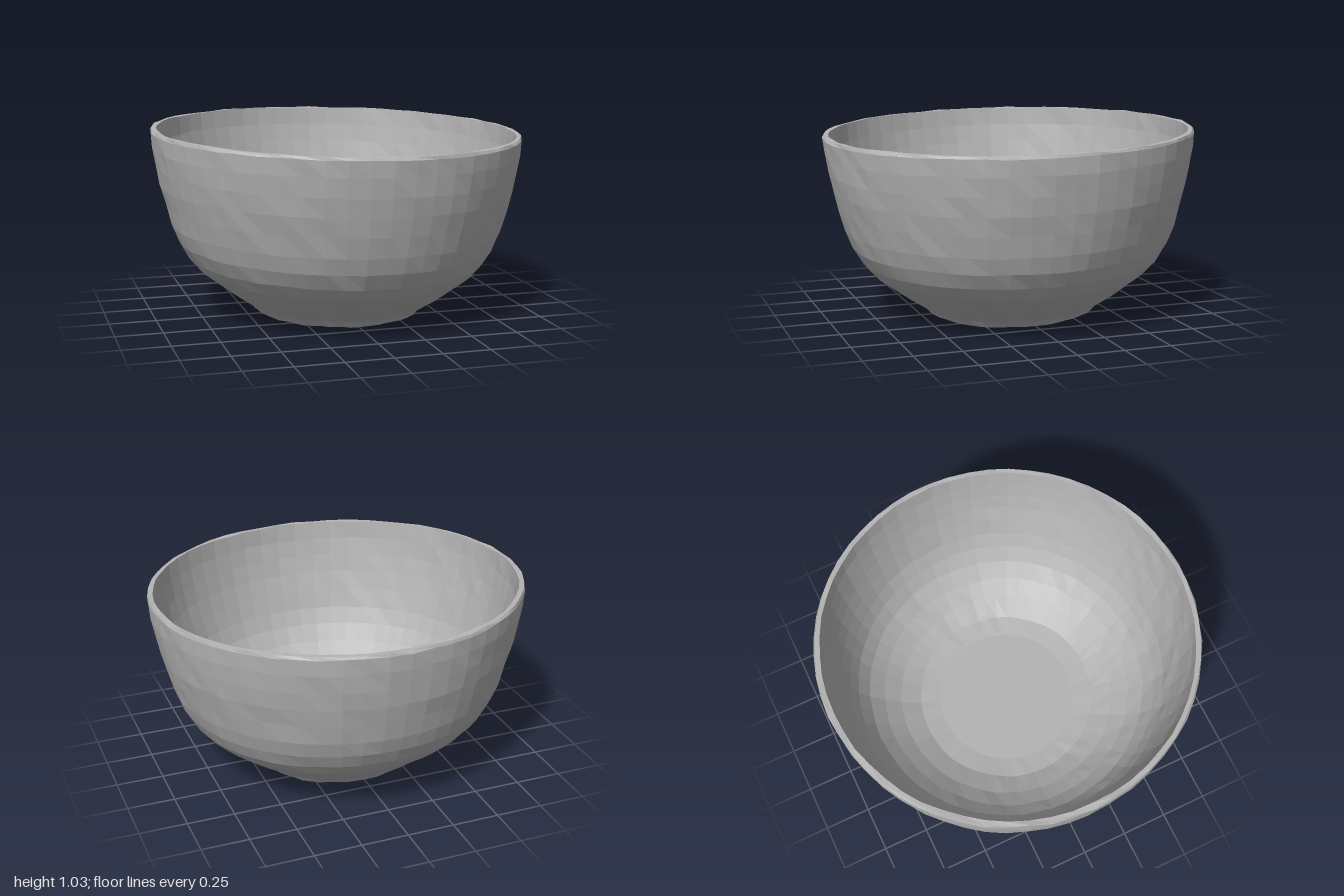
import * as THREE from 'three';

const SEGMENTS = 56;

// Repeatable noise in -1..1 for the uneven, hand-made surface
function noise(a, b) {
  const s = Math.sin(a * 127.1 + b * 311.7) * 43758.5453;
  return (s - Math.floor(s)) * 2 - 1;
}

export function createModel() {
  const group = new THREE.Group();
  group.name = 'bowl';
  const clay = new THREE.MeshStandardMaterial({ color: 0xb4b4b4, flatShading: true });
  clay.name = 'grey clay';

  // Radius and height: recess, foot ring, outer wall, lip, inner wall, floor
  const profile = [
    [0, 0.055], [0.38, 0.055], [0.41, 0.02], [0.455, 0.022], [0.485, 0.055],
    [0.59, 0.125], [0.69, 0.2], [0.755, 0.25], [0.81, 0.315], [0.86, 0.4],
    [0.895, 0.49], [0.925, 0.6], [0.952, 0.7], [0.972, 0.8], [0.988, 0.9],
    [0.996, 0.985], [0.99, 1.0], [0.965, 1.0],
    [0.955, 0.9], [0.938, 0.8], [0.917, 0.7], [0.89, 0.6], [0.858, 0.49],
    [0.82, 0.4], [0.765, 0.31], [0.69, 0.235], [0.6, 0.17], [0.49, 0.115],
    [0.38, 0.1], [0, 0.1],
  ].map(([r, y]) => new THREE.Vector2(r, y));
  const geometry = new THREE.LatheGeometry(profile, SEGMENTS);

  // Roughen the walls, then tilt the bowl slightly to the front left
  const pos = geometry.attributes.position;
  const rows = profile.length;
  for (let i = 0; i < pos.count; i++) {
    const row = i % rows;
    const column = Math.floor(i / rows) % SEGMENTS;
    const r = profile[row].x;
    const rough = r > 0.4 ? 0.003 : 0;
    const scale = r > 0 ? 1 + noise(row, column) * rough / r : 1;
    const x = pos.getX(i) * scale;
    const z = pos.getZ(i) * scale;
    const y = pos.getY(i) + noise(column, row + 7) * rough;
    pos.setXYZ(i, x, y - 0.018 * x - 0.024 * z, z - 0.015 * (1 - profile[row].y));
  }

  // Stand on the ground
  geometry.computeBoundingBox();
  geometry.translate(0, -geometry.boundingBox.min.y, 0);
  geometry.computeVertexNormals();

  const bowl = new THREE.Mesh(geometry, clay);
  bowl.name = 'bowlBody';
  group.add(bowl);
  return group;
}
